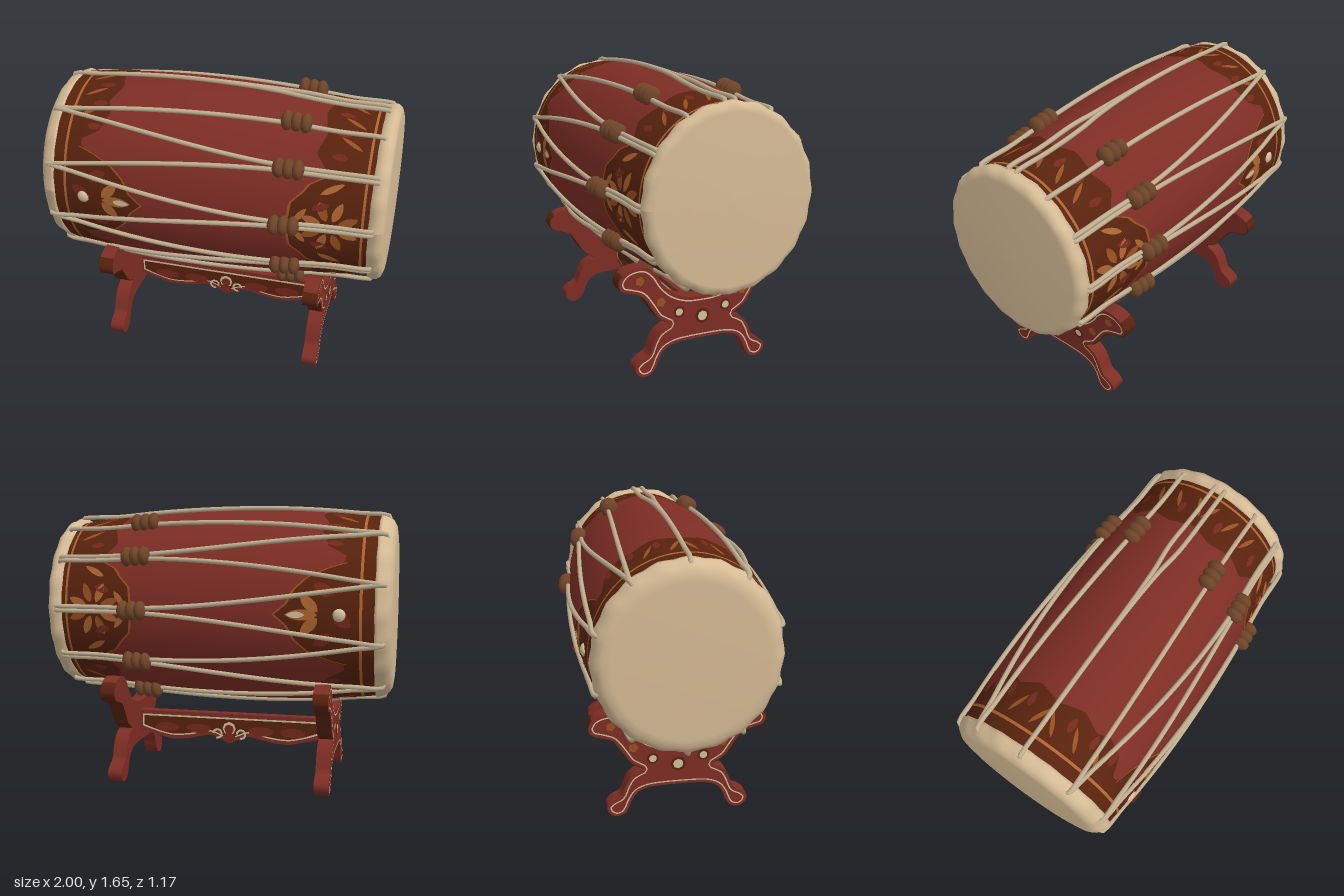
import * as THREE from 'three';

const mat = (name, color, side = THREE.FrontSide) => Object.assign(new THREE.MeshStandardMaterial({ color, side }), { name });
const M = {
  red: mat('red lacquer', 0x7d2d24),
  skin: mat('drum skin', 0xd5bb95),
  rope: mat('rope', 0xbfae90),
  knot: mat('knot brown', 0x6e4428),
  brown: mat('dark brown paint', 0x58220d, THREE.DoubleSide),
  orange: mat('orange paint', 0xad6530, THREE.DoubleSide),
  gold: mat('gold brown paint', 0x985020, THREE.DoubleSide),
  trim: mat('cream trim', 0xd2c09e, THREE.DoubleSide),
  paint: mat('red paint', 0x76281b, THREE.DoubleSide),
};
const CY = 1.062, SZ = 0.95, RAD = Math.PI / 180;

// barrel radius along x, and points around the barrel (angle 0 = front, 90 degrees = top)
const R = x => 0.565 - (x < -0.2 ? 0.09 : 0.064) * (x + 0.2) ** 2;
const polar = (x, a, r) => new THREE.Vector3(x, CY + r * Math.sin(a), SZ * r * Math.cos(a));
const onBarrel = (x, a, lift) => polar(x, a, R(x) + lift);

function add(parent, name, geo, material, x = 0, y = 0, z = 0) {
  const m = new THREE.Mesh(geo, material);
  m.name = name;
  m.position.set(x, y, z);
  parent.add(m);
  return m;
}

// lathe about the x axis, from [radius, x] pairs, with an optional ripple near the rim
function lathe(pts, ripple = 0) {
  const g = new THREE.LatheGeometry(pts.map(p => new THREE.Vector2(...p)), 80).rotateZ(-Math.PI / 2);
  const p = g.attributes.position;
  for (let i = 0; i < p.count; i++) {
    const y = p.getY(i), z = p.getZ(i);
    const k = Math.hypot(y, z) > 0.48 ? 1 + ripple * Math.cos(20 * Math.atan2(y, z)) : 1;
    p.setXYZ(i, p.getX(i), CY + y * k, z * k * SZ);
  }
  g.computeVertexNormals();
  return g;
}

// painted band between two edge functions of the angle
function band(x0, x1, lift, a0 = 0, a1 = 2 * Math.PI, n = 180, k = 8) {
  const pos = [], idx = [];
  for (let i = 0; i <= n; i++) {
    const a = a0 + (a1 - a0) * i / n, s = x0(a), e = x1(a);
    for (let j = 0; j <= k; j++) {
      pos.push(...onBarrel(s + (e - s) * j / k, a, lift));
      const q = i * (k + 1) + j;
      if (i < n && j < k) idx.push(q, q + 1, q + k + 2, q, q + k + 2, q + k + 1);
    }
  }
  const g = new THREE.BufferGeometry();
  g.setAttribute('position', new THREE.Float32BufferAttribute(pos, 3));
  g.setIndex(idx);
  g.computeVertexNormals();
  return g;
}

// leaf-shaped paint wrapped on the barrel
function leaf(parent, material, x, a, rot, len, w, lift = 0.007) {
  const s = new THREE.Shape();
  s.bezierCurveTo(len * 0.25, w, len * 0.75, w * 0.8, len, 0);
  s.bezierCurveTo(len * 0.75, -w * 0.8, len * 0.25, -w, 0, 0);
  const g = new THREE.ShapeGeometry(s, 8).rotateZ(rot), p = g.attributes.position;
  for (let i = 0; i < p.count; i++) {
    const px = x + p.getX(i);
    p.setXYZ(i, ...onBarrel(px, a + p.getY(i) / R(px), lift));
  }
  g.computeVertexNormals();
  add(parent, 'paintedLeaf', g, material);
}

// ornamental edge: degrees away from the front or back centre -> x
const LEFT = [[0, -0.35], [6, -0.42], [14, -0.46], [21, -0.53], [27, -0.64], [31, -0.74], [36, -0.74], [42, -0.64], [54, -0.6], [62, -0.63], [75, -0.58], [90, -0.62]];
const RIGHT = [[0, 0.43], [5, 0.465], [14, 0.475], [20, 0.53], [26, 0.57], [31, 0.65], [36, 0.65], [45, 0.59], [58, 0.63], [75, 0.6], [90, 0.64]];
const edge = table => a => {
  const t = Math.asin(Math.min(1, Math.abs(Math.sin(a)))) / RAD;
  const i = Math.max(1, table.findIndex(p => p[0] >= t - 1e-6));
  const [t0, v0] = table[i - 1], [t1, v1] = table[i];
  return v0 + (v1 - v0) * (t - t0) / (t1 - t0);
};

function buildDrum(g) {
  const body = Array.from({ length: 29 }, (_, i) => -0.92 + 1.84 * i / 28).map(x => [R(x), x]);
  add(g, 'barrel', lathe(body), M.red);
  add(g, 'leftSkin', lathe([[0, -1], [0.43, -1], [0.475, -0.993], [0.503, -0.975], [0.52, -0.95], [0.53, -0.92], [0.532, -0.905], [0.515, -0.9]], 0.01), M.skin);
  add(g, 'rightSkin', lathe([[0.485, 0.905], [0.502, 0.91], [0.513, 0.94], [0.509, 0.965], [0.493, 0.985], [0.46, 0.996], [0, 1]], 0.01), M.skin);

  // painted borders
  const l = edge(LEFT), r = edge(RIGHT), at = v => () => v;
  add(g, 'leftBorder', band(at(-0.91), l, 0.003), M.brown);
  add(g, 'rightBorder', band(r, at(0.91), 0.003), M.brown);
  add(g, 'leftStripe', band(at(-0.838), at(-0.822), 0.005, 0, 2 * Math.PI, 120, 1), M.orange);
  add(g, 'rightStripe', band(at(0.868), at(0.882), 0.005, 0, 2 * Math.PI, 120, 1), M.orange);
  for (const c of [0, Math.PI]) {
    const w = 31 * RAD;
    add(g, 'leftMedallionRim', band(a => l(a) - 0.014, l, 0.005, c - w, c + w, 60, 1), M.gold);
    add(g, 'rightMedallionRim', band(r, a => r(a) + 0.014, 0.005, c - w, c + w, 60, 1), M.gold);
    // flowers
    for (const k of [-1, 0, 1]) {
      leaf(g, M.orange, -0.6, c + k * 0.03, k * 0.75, k ? 0.13 : 0.18, 0.045);
      leaf(g, M.paint, -0.68, c + k * 0.2, k * 0.5 + 2.6 * (k === 0), 0.12, 0.05);
    }
    leaf(g, M.trim, -0.53, c, 0, 0.1, 0.026, 0.009);
    for (let k = 0; k < 8; k++) {
      const a = (k + 0.5) * Math.PI / 4;
      leaf(g, k % 2 ? M.orange : M.gold, 0.7 + 0.045 * Math.cos(a), c + 0.08 * Math.sin(a), a, 0.12, 0.036);
    }
    for (const k of [-1, 1]) {
      leaf(g, M.orange, 0.51, c + k * 0.05, k * 0.9, 0.1, 0.026);
      leaf(g, M.orange, 0.64, c + k * 0.36, k * 0.5, 0.14, 0.026);
      leaf(g, M.paint, 0.6, c + k * 0.2, k * 0.3, 0.1, 0.035);
      for (const t of [50, 66, 82]) for (const [x, end, rot] of [[-0.79, -0.72, 0.5 * k], [0.83, 0.76, Math.PI - 0.5 * k]]) {
        leaf(g, M.gold, x, c + k * t * RAD, rot, 0.14, 0.018);
        leaf(g, M.paint, end, c + k * (t - 6) * RAD, x < 0 ? 0 : Math.PI, 0.09, 0.03);
      }
    }
    add(g, 'peg', new THREE.SphereGeometry(0.036, 20, 14), M.trim, ...onBarrel(-0.715, c, 0)).scale.z = 0.6;
  }
}

// one rope from the left rim to the right rim; open shapes how soon it leaves its neighbour
function rope(g, from, to, open) {
  const pts = [polar(-0.958, from, 0.5), polar(-0.95, from, 0.53)];
  for (let i = 1; i <= 9; i++) {
    const u = i / 9, x = -0.93 + 1.38 * u;
    pts.push(polar(x, from + (to - from) * open(u), Math.max(R(x) + 0.012, 0.541 - 0.005 * u)));
  }
  for (const [x, r] of [[0.7, 0.526], [0.9, 0.522], [0.93, 0.517], [0.945, 0.49]]) pts.push(polar(x, to, r));
  add(g, 'rope', new THREE.TubeGeometry(new THREE.CatmullRomCurve3(pts), 56, 0.0135, 8), M.rope);
}

function buildRopes(g) {
  const nodes = [54, 18, -18, -54], knots = [62, 33, 0, -33, -64];
  const early = u => 1 - (1 - u) ** 1.5, late = u => u ** 6;
  for (const s of [1, -1]) {
    const A = d => (s < 0 ? 180 - d : d) * RAD;
    nodes.forEach((n, i) => {
      rope(g, A(n), A(knots[i]) - 0.024 * s, early);
      rope(g, A(n), A(knots[i + 1]) + 0.024 * s, early);
    });
    rope(g, A(90), A(90) - 0.06 * s, late);
    rope(g, A(-90), A(-90) + 0.12 * s, early);
    for (const k of knots) for (const x of [0.404, 0.456, 0.508])
      add(g, 'knot', new THREE.SphereGeometry(1, 18, 12), M.knot, ...onBarrel(x, A(k), 0.018)).scale.set(0.035, 0.056, 0.056);
  }
}

// half of the end frame outline, as [z, y]
const HALF = [[0.1, 0.442], [0.18, 0.475], [0.24, 0.53], [0.29, 0.605], [0.34, 0.645], [0.4, 0.653], [0.47, 0.628], [0.503, 0.575], [0.485, 0.53], [0.43, 0.51], [0.37, 0.485], [0.32, 0.42], [0.27, 0.345], [0.235, 0.32], [0.2, 0.295], [0.235, 0.275], [0.27, 0.25], [0.3, 0.2], [0.33, 0.13], [0.375, 0.105], [0.408, 0.07], [0.4, 0.03], [0.36, 0.002], [0.31, 0.015], [0.285, 0.05], [0.265, 0.1], [0.23, 0.15], [0.17, 0.175], [0.09, 0.182]];

function buildFrame(g, side) {
  const ring = [[0, 0.435], ...HALF, [0, 0.183], ...HALF.map(p => [-p[0], p[1]]).reverse()];
  const pts = new THREE.CatmullRomCurve3(ring.map(p => new THREE.Vector3(...p, 0)), true).getPoints(240).slice(0, 240);
  const inset = d => pts.map((p, i) => {
    const t = pts[(i + 1) % 240].clone().sub(pts[(i + 239) % 240]).normalize();
    return new THREE.Vector2(p.x + t.y * d, p.y - t.x * d);
  });
  const frame = new THREE.Group();
  frame.name = side < 0 ? 'rightEndFrame' : 'leftEndFrame';
  add(frame, 'crossFrame', new THREE.ExtrudeGeometry(new THREE.Shape(inset(0)), { depth: 0.085, bevelEnabled: false }), M.red);
  const line = new THREE.Shape(inset(0.018));
  line.holes.push(new THREE.Path(inset(0.026)));
  add(frame, 'trimLine', new THREE.ShapeGeometry(line), M.trim, 0, 0, 0.088);
  // dark outer edges of the upper arms
  for (const [a, b] of [[28, 60], [180, 212]]) {
    const strip = new THREE.Shape([...inset(-0.003).slice(a, b), ...inset(0.003).slice(a, b).reverse()]);
    add(frame, 'armEdge', new THREE.ExtrudeGeometry(strip, { depth: 0.085, bevelEnabled: false }), M.brown);
  }
  const spot = (m, x, y, r, z, n = 16) => add(frame, 'paintedSpot', new THREE.CircleGeometry(r, n), m, x, y, z);
  spot(M.brown, 0, 0.315, 0.045, 0.087, 8);
  spot(M.trim, 0, 0.315, 0.03, 0.09, 8);
  for (const k of [-1, 1]) {
    spot(M.brown, k * 0.145, 0.36, 0.034, 0.087);
    spot(M.trim, k * 0.145, 0.36, 0.022, 0.09);
    spot(M.gold, k * 0.255, 0.435, 0.03, 0.087, 5);
    spot(M.gold, k * 0.38, 0.575, 0.028, 0.087, 5);
  }
  frame.rotation.y = side * Math.PI / 2;
  frame.position.x = side * 0.577;
  g.add(frame);
}

function buildStretcher(g) {
  const outline = (d, w) => {
    const low = [[0.45, 0.215], [0.36, 0.2], [0.25, 0.21], [0.13, 0.235], [0.06, 0.215]];
    const curve = [...low.map(p => [-p[0], p[1]]), [0, 0.19], ...low.reverse()].map(p => new THREE.Vector2(p[0], p[1] + d));
    return new THREE.Shape().moveTo(-w, 0.375 - d).lineTo(-w, 0.25 + d).splineThru(curve).lineTo(w, 0.25 + d).lineTo(w, 0.375 - d);
  };
  add(g, 'stretcherBoard', new THREE.ExtrudeGeometry(outline(0, 0.585), { depth: 0.06, bevelEnabled: false }), M.red, 0, 0, -0.03);
  for (const s of [-1, 1]) {
    add(g, 'stretcherTrim', new THREE.ShapeGeometry(outline(0.023, 0.565)), M.trim, 0, 0, s * 0.033);
    add(g, 'stretcherPanel', new THREE.ShapeGeometry(outline(0.033, 0.554)), M.brown, 0, 0, s * 0.036);
    for (const k of [-1, 1]) {
      add(g, 'scroll', new THREE.RingGeometry(0.02, 0.033, 20, 1, 0, 5), M.trim, k * 0.075, 0.25, s * 0.039);
      for (const x of [0.2, 0.4]) add(g, 'panelLeaf', new THREE.CircleGeometry(0.03, 16), M.paint, k * x, 0.275, s * 0.039).scale.x = 2.6;
    }
    add(g, 'crest', new THREE.CircleGeometry(0.042, 8), M.trim, 0, 0.285, s * 0.039);
    add(g, 'crestCentre', new THREE.CircleGeometry(0.03, 8), M.paint, 0, 0.28, s * 0.042);
    add(g, 'pendant', new THREE.CircleGeometry(0.042, 4), M.paint, 0, 0.232, s * 0.044);
  }
}

export function createModel() {
  const model = new THREE.Group();
  const part = name => { const g = new THREE.Group(); g.name = name; model.add(g); return g; };
  buildDrum(part('drum'));
  buildRopes(part('ropes'));
  const stand = part('stand');
  for (const side of [-1, 1]) buildFrame(stand, side);
  buildStretcher(stand);
  return model;
}
